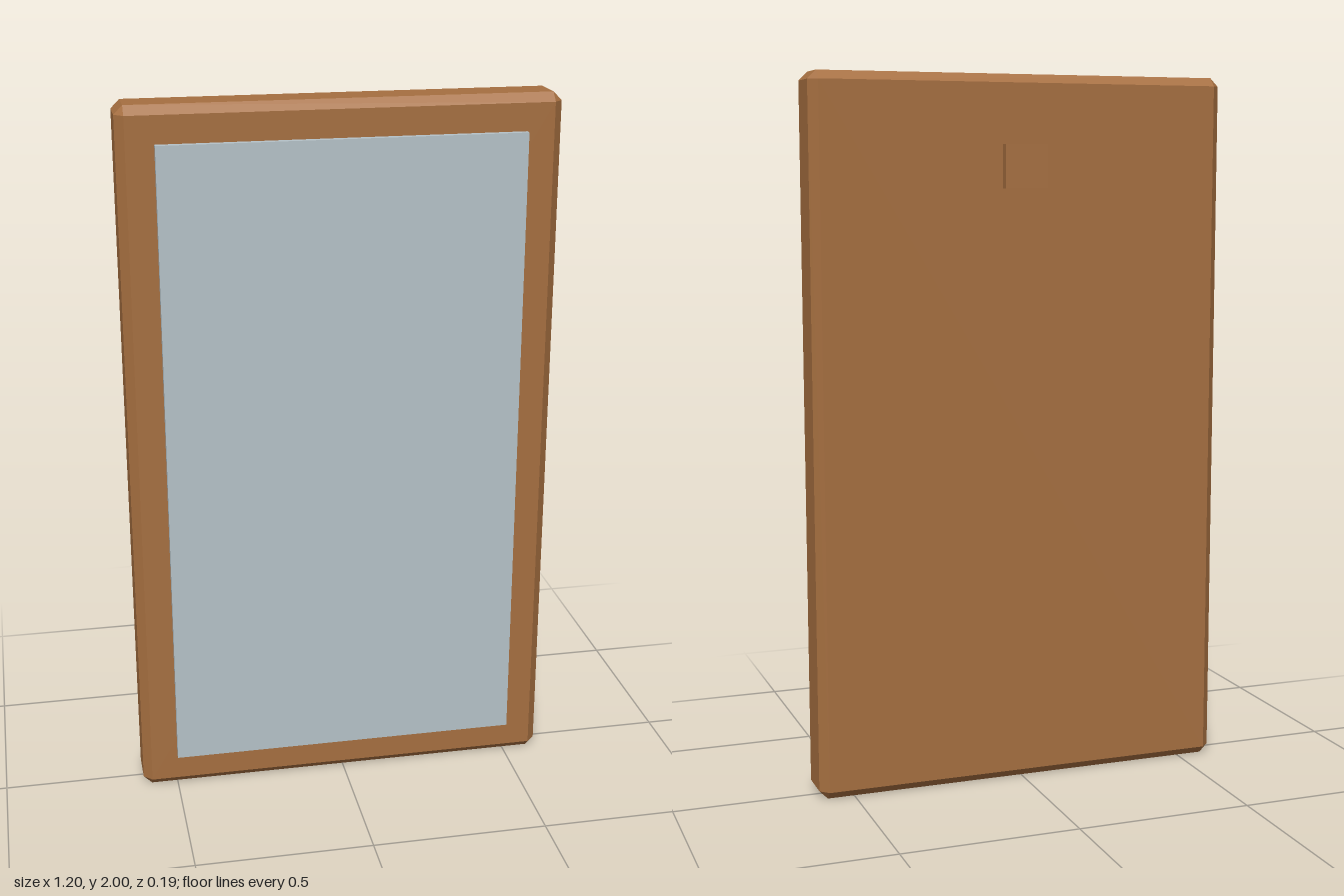
import * as THREE from 'three';
import { ConvexGeometry } from 'three/addons/geometries/ConvexGeometry.js';

// Box with all twelve edges cut at 45 degrees
function chamferedBox(w, h, d, bevel) {
  const half = [w / 2, h / 2, d / 2];
  const points = [];
  for (const sx of [-1, 1]) for (const sy of [-1, 1]) for (const sz of [-1, 1]) {
    for (let axis = 0; axis < 3; axis++) {
      const c = half.map((v, i) => (i === axis ? v : v - bevel));
      points.push(new THREE.Vector3(sx * c[0], sy * c[1], sz * c[2]));
    }
  }
  return new ConvexGeometry(points);
}

export function createModel() {
  const wood = new THREE.MeshStandardMaterial({ color: 0xa66f40 });
  wood.name = 'warm wood';
  const glass = new THREE.MeshStandardMaterial({ color: 0xb5c2c8 });
  glass.name = 'pale glass';

  const model = new THREE.Group();
  model.name = 'framedMirror';
  const add = (name, geometry, material, x, y, z) => {
    const mesh = new THREE.Mesh(geometry, material);
    mesh.name = name;
    mesh.position.set(x, y, z);
    model.add(mesh);
  };

  // Chamfered wooden slab
  add('frame', chamferedBox(1.2, 2, 0.148, 0.024), wood, 0, 1, 0.002);
  // Raised pane on the front
  add('mirrorPane', new THREE.BoxGeometry(1, 1.8, 0.025), glass, 0, 1, 0.0825);
  // Small hanging block on the back
  add('wallMount', new THREE.BoxGeometry(0.124, 0.12, 0.03), wood, 0, 1.75, -0.08);

  return model;
}
